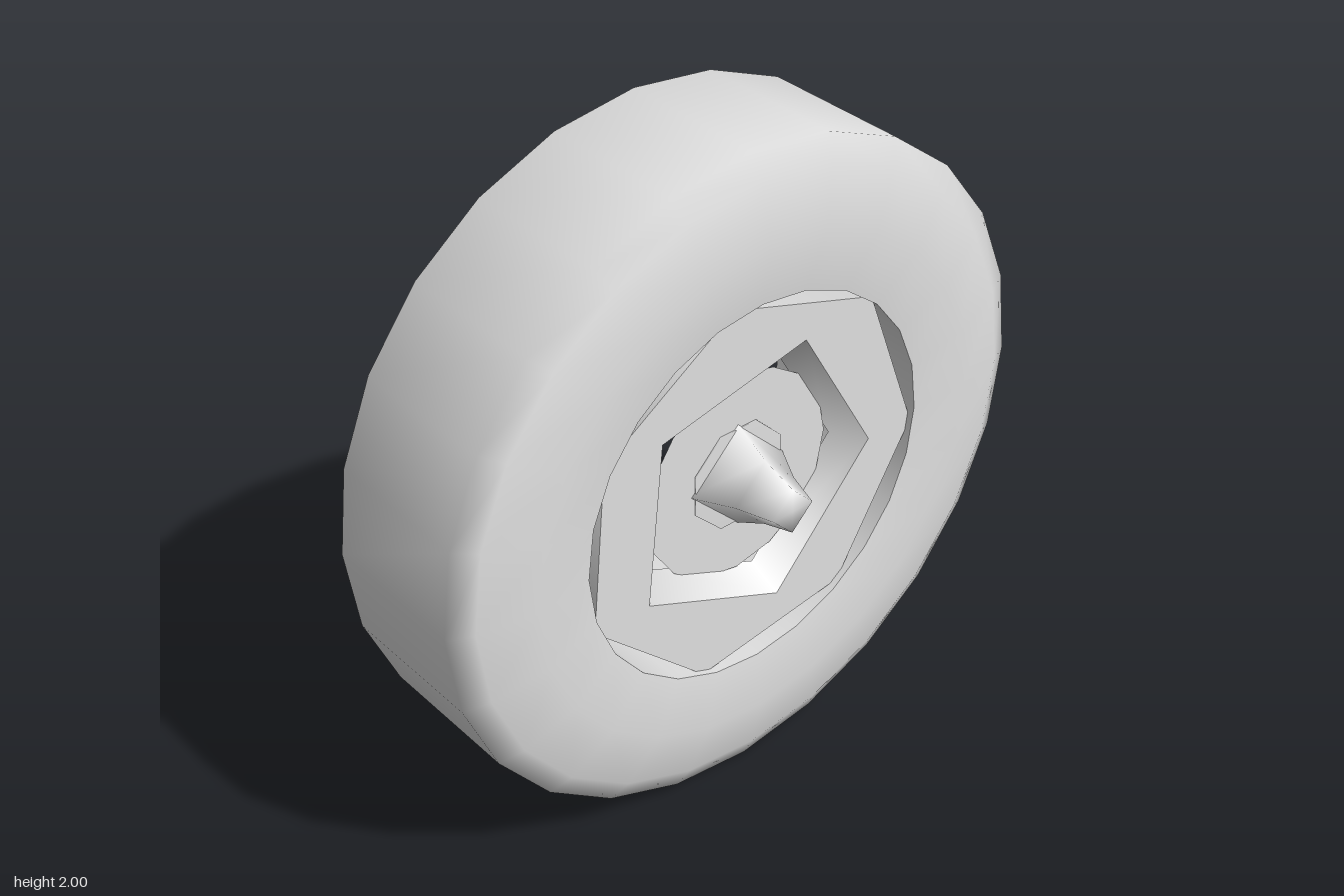
import * as THREE from 'three';

const paleGrey = new THREE.MeshStandardMaterial({ color: 0xe0e0e0 });
paleGrey.name = 'pale grey';

// Spins a profile of [radius, x] points around the x axis; startDeg turns the first corner.
function spin(name, profile, sides, startDeg = 0) {
  const points = profile.map(([r, x]) => new THREE.Vector2(r, x));
  const geometry = new THREE.LatheGeometry(points, sides, -THREE.MathUtils.degToRad(startDeg));
  geometry.rotateZ(-Math.PI / 2);
  const mesh = new THREE.Mesh(geometry, paleGrey);
  mesh.name = name;
  return mesh;
}

// Corners of a regular polygon, matching the corners made by spin.
function polygon(radius, sides, startDeg) {
  return Array.from({ length: sides }, (_, i) => {
    const a = THREE.MathUtils.degToRad(startDeg + (i * 360) / sides);
    return new THREE.Vector2(-radius * Math.cos(a), radius * Math.sin(a));
  });
}

export function createModel() {
  const wheel = new THREE.Group();
  wheel.name = 'wheel';
  const rimTurn = 31;
  const recessTurn = 42;

  // Tyre: bulging sidewalls and a broad tread
  wheel.add(spin('tyre', [
    [0.585, -0.33], [0.75, -0.35], [0.92, -0.315], [1, -0.28],
    [1, 0.17], [0.93, 0.205], [0.76, 0.24], [0.585, 0.22],
  ], 24));
  wheel.add(spin('tyreInnerWall', [[0.585, 0.22], [0.585, -0.33]], 24));

  // Seven-sided rim that leaves slim gaps inside the tyre
  wheel.add(spin('rimBack', [[0, -0.31], [0.595, -0.3]], 7, rimTurn));
  wheel.add(spin('rimBarrel', [[0.595, -0.3], [0.595, 0.2]], 7, rimTurn));

  // Rim face with a five-sided opening
  const faceShape = new THREE.Shape(polygon(0.595, 7, rimTurn));
  faceShape.holes.push(new THREE.Path(polygon(0.43, 5, recessTurn)));
  const rimFace = new THREE.Mesh(new THREE.ShapeGeometry(faceShape).rotateY(Math.PI / 2), paleGrey);
  rimFace.name = 'rimFace';
  rimFace.position.x = 0.2;
  wheel.add(rimFace);
  wheel.add(spin('rimRecess', [[0.43, 0.2], [0.36, 0.11]], 5, recessTurn));

  // Recessed disc and the small plate under the hub
  wheel.add(spin('disc', [[0.32, 0.13], [0, 0.13]], 16));
  wheel.add(spin('hubPlate', [[0.165, 0.13], [0.165, 0.135], [0, 0.135]], 8, 22.5));

  // Four-sided tapering hub with a softened tip
  wheel.add(spin('hub', [[0.17, 0.12], [0.105, 0.24], [0.07, 0.35], [0, 0.35]], 4));

  // Stand the tyre on the ground
  wheel.children.forEach((part) => { part.position.y = 1; });
  return wheel;
}
